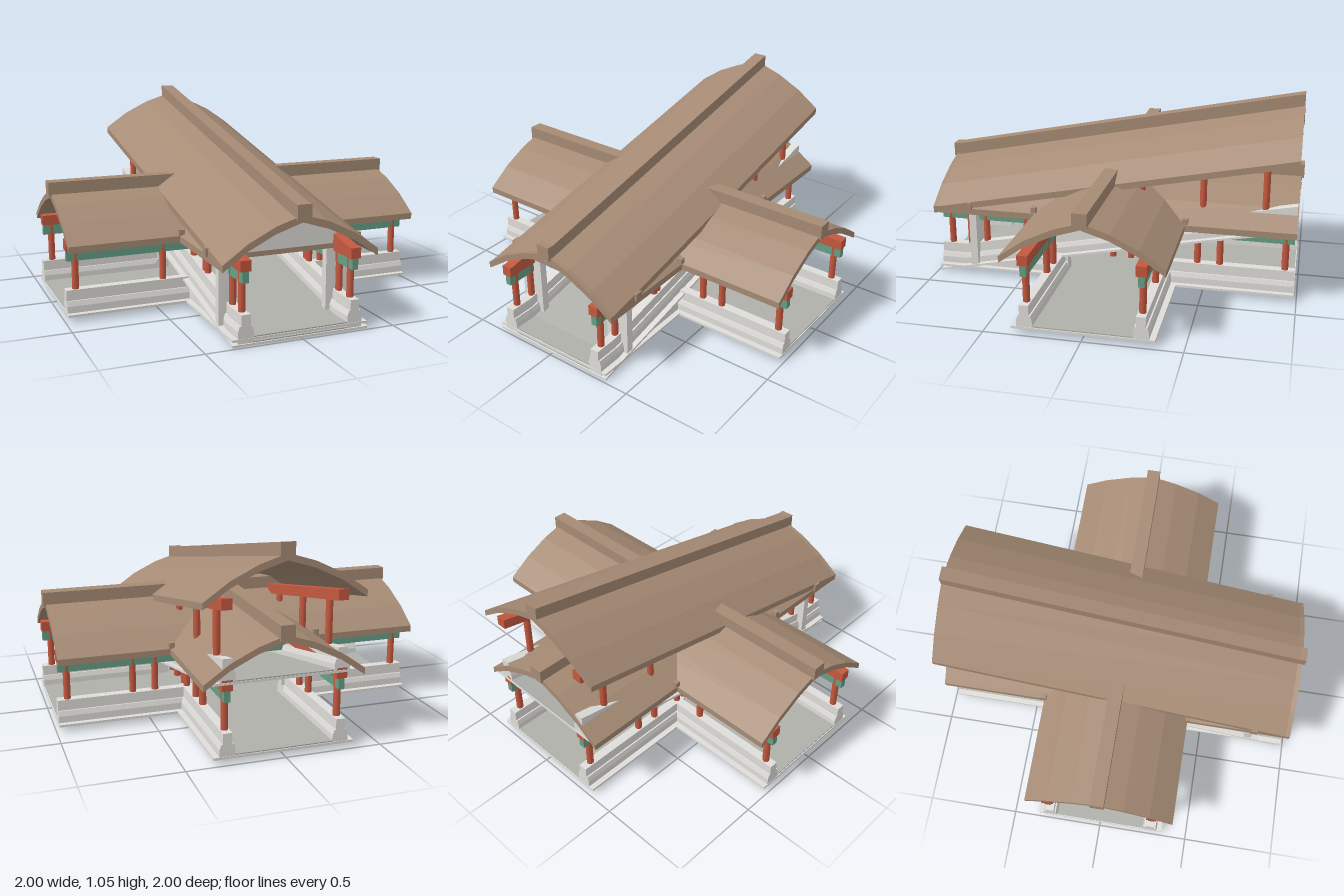
import * as THREE from 'three';

const paint = (name, color) => {
  const m = new THREE.MeshStandardMaterial({ color });
  m.name = name;
  return m;
};

// Upper roof curve from ridge to eave, as half width and height
const ROOF = [[0, 0.607], [0.14, 0.563], [0.28, 0.495], [0.408, 0.406]];
const ROOF_THICK = 0.034;
const both = (points) => [...points.slice(1).reverse().map(([x, y]) => [-x, y]), ...points];

export function createModel() {
  const brown = paint('roof brown', 0xa68b75);
  const red = paint('timber red', 0xc4583f);
  const green = paint('beam green', 0x669f85);
  const pale = paint('pale stone', 0xdfddd9);
  const grey = paint('floor grey', 0xb0b0ab);

  const root = new THREE.Group();
  root.name = 'crossedCorridors';

  const add = (parent, name, geometry, material) => {
    const mesh = new THREE.Mesh(geometry, material);
    mesh.name = name;
    parent.add(mesh);
    return mesh;
  };

  // Box given by its limits on each axis
  const box = (x0, x1, y0, y1, z0, z1) => new THREE.BoxGeometry(x1 - x0, y1 - y0, z1 - z0)
    .translate((x0 + x1) / 2, (y0 + y1) / 2, (z0 + z1) / 2);

  // Outline in x and y, drawn out along z
  const prism = (points, z0, z1) => {
    const shape = new THREE.Shape(points.map(([x, y]) => new THREE.Vector2(x, y)));
    return new THREE.ExtrudeGeometry(shape, { depth: z1 - z0, bevelEnabled: false }).translate(0, 0, z0);
  };

  const post = (x, z, y0, y1) => new THREE.CylinderGeometry(0.018, 0.018, y1 - y0, 10)
    .translate(x, (y0 + y1) / 2, z);

  // Roof shell with its ridge bar, along z
  const roof = (parent, half, ridgeHalf) => {
    const top = both(ROOF);
    const under = top.map(([x, y]) => [x, y - ROOF_THICK]).reverse();
    add(parent, 'roofShell', prism([...top, ...under], -half, half), brown);
    add(parent, 'ridgeBar', box(-0.037, 0.037, 0.585, 0.66, -ridgeHalf, ridgeHalf), brown);
  };

  // Stone slab with a darker floor between the parapets
  const slab = (parent, y0, y1) => {
    add(parent, 'slab', box(-0.36, 0.36, y0, y1, -0.985, 0.985), pale);
    add(parent, 'floor', box(-0.252, 0.252, y1, y1 + 0.006, -0.98, 0.98), grey);
  };

  // Parapet with a stepped foot, standing at height y
  const parapet = (parent, side, y, z0, z1) => {
    const half = [[0.04, 0], [0.04, 0.04], [0.032, 0.066], [0.024, 0.066], [0.024, 0.121]];
    const outline = [...half, ...half.map(([x, h]) => [-x, h]).reverse()];
    add(parent, 'parapet', prism(outline.map(([x, h]) => [side * 0.29 + x, y + h]), z0, z1), pale);
  };

  // Level corridor along z
  const levelCorridor = (name, innerPosts) => {
    const g = new THREE.Group();
    g.name = name;
    slab(g, 0.028, 0.04);
    roof(g, 0.985, 0.998);
    for (const side of [-1, 1]) {
      const x = side * 0.29;
      for (const end of [-1, 1]) {
        const a = end * 0.25, b = end * 0.983;
        parapet(g, side, 0.035, Math.min(a, b), Math.max(a, b));
      }
      add(g, 'eaveBeam', box(x - 0.027, x + 0.027, 0.362, 0.416, -0.98, 0.98), red);
      add(g, 'tieBeam', box(x - 0.016, x + 0.016, 0.305, 0.362, -0.975, 0.975), green);
      for (const z of [-0.93, -0.465, 0, 0.465, 0.93, ...innerPosts]) {
        add(g, 'post', post(x, z, 0.15, 0.365), red);
      }
    }
    root.add(g);
    return g;
  };
  levelCorridor('lengthwiseCorridor', [-0.585, -0.29, -0.24, -0.1, 0.29, 0.725]);
  levelCorridor('crosswiseCorridor', [0.585]).rotation.y = Math.PI / 2;

  // Climbing corridor, built level and then sheared upward toward the back
  const climb = new THREE.Group();
  climb.name = 'climbingCorridor';
  roof(climb, 0.98, 0.98);
  slab(climb, 0.006, 0.018);
  for (const side of [-1, 1]) {
    const x = side * 0.29;
    parapet(climb, side, 0.012, -0.98, 0.98);
    add(climb, 'eaveBeam', box(x - 0.027, x + 0.027, 0.362, 0.416, -0.97, 0.97), red);
    for (let i = 0; i < 6; i++) {
      add(climb, 'post', post(x, 0.82 - i * 0.327, 0.12, 0.37), red);
    }
  }
  const shear = new THREE.Matrix4().set(1, 0, 0, 0, 0, 1, -0.2, 0.192, 0, 0, 1, 0, 0, 0, 0, 1);
  climb.traverse((o) => {
    if (!o.isMesh) return;
    o.geometry.applyMatrix4(shear);
    o.geometry.computeVertexNormals();
  });
  root.add(climb);

  // Gateway wall near the front, with a gable filling the roof
  const gate = new THREE.Group();
  gate.name = 'gateway';
  const fill = both(ROOF.filter(([x]) => x < 0.3)).map(([x, y]) => [x, y - ROOF_THICK + 0.004]);
  add(gate, 'gableWall', prism([[-0.28, 0.4], ...fill, [0.28, 0.4]], 0.765, 0.8), pale);
  add(gate, 'lintel', box(-0.3, 0.3, 0.375, 0.4, 0.762, 0.803), brown);
  for (const side of [-1, 1]) {
    add(gate, 'pillar', box(side * 0.29 - 0.065, side * 0.29 + 0.065, 0.035, 0.375, 0.762, 0.803), pale);
    add(gate, 'eaveCap', box(side * 0.405 - 0.015, side * 0.405 + 0.015, 0.4, 0.442, 0.762, 0.803), brown);
  }
  root.add(gate);

  // Small caps where the eaves meet
  for (const x of [-0.402, 0.402]) {
    for (const z of [-0.41, 0.41]) {
      add(root, 'cornerCap', box(x - 0.014, x + 0.014, 0.412, 0.442, z - 0.014, z + 0.014), brown);
    }
  }
  return root;
}
